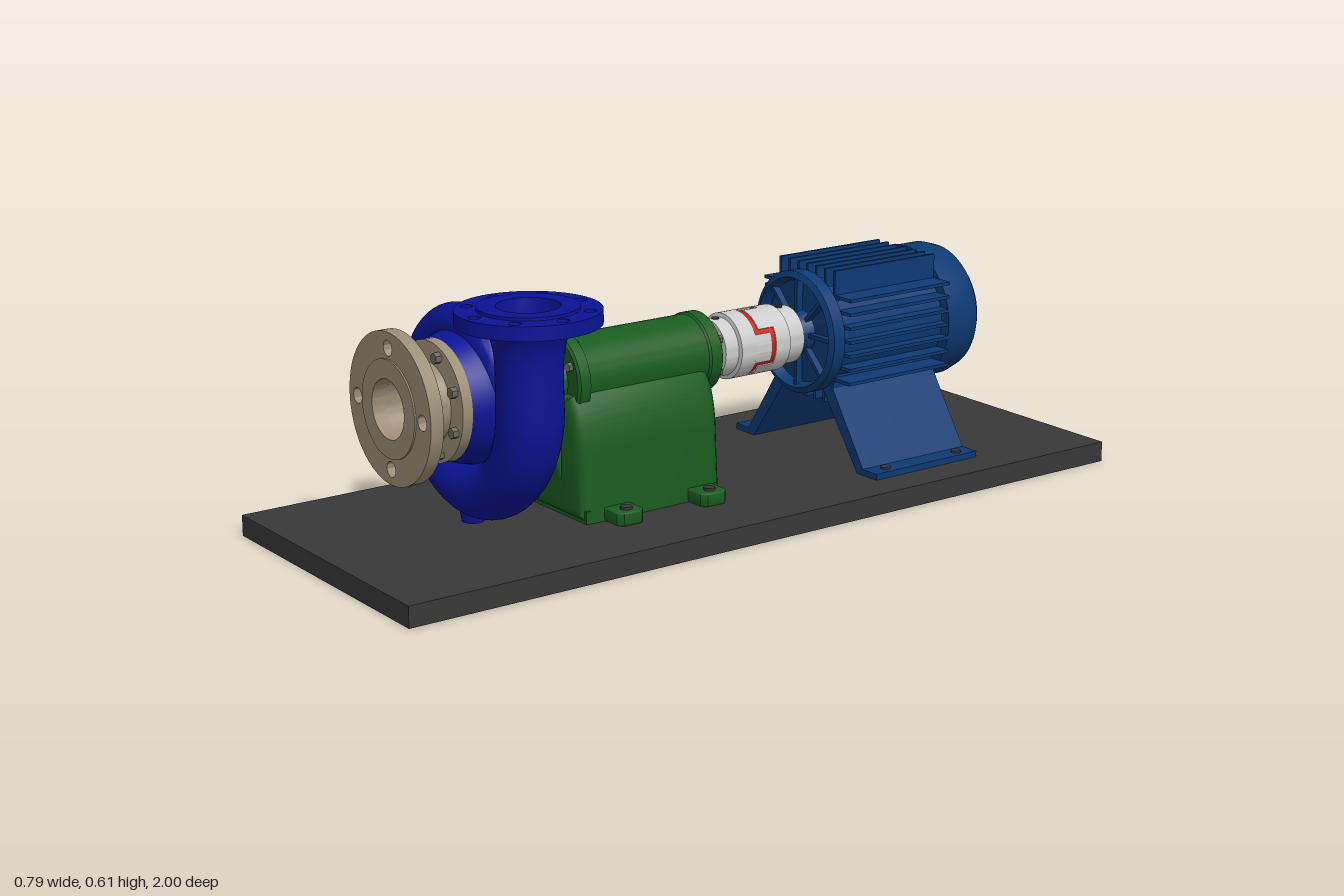
import * as THREE from 'three';
import { toCreasedNormals } from 'three/addons/utils/BufferGeometryUtils.js';

const BLUE = 0x0a1496, NAVY = 0x0d3a73, GREEN = 0x1a5c1f, BEIGE = 0x9a8d75, RED = 0xdd1515;
const SILVER = 0xcccccc, YELLOW = 0xd8b010, DARK = 0x383838, STEEL = 0x6a6a62, MAROON = 0x7a1010;
const GROUND = -0.313; // top of the base plate, measured from the shaft axis

const V = (pts) => pts.map(([x, y]) => new THREE.Vector2(x, y));

function add(parent, name, geo, color, double = false) {
  const mat = new THREE.MeshStandardMaterial({ color, side: double ? THREE.DoubleSide : THREE.FrontSide });
  const mesh = new THREE.Mesh(geo, mat);
  mesh.name = name;
  parent.add(mesh);
  return mesh;
}

// Solid of revolution about the z axis; profile is [radius, z] with z rising on the outside
const turn = (pts, seg = 56) => toCreasedNormals(new THREE.LatheGeometry(V(pts), seg).rotateX(Math.PI / 2), 0.6);

// Cylinder along z
const cyl = (r, z0, z1, x = 0, y = 0, seg = 24) =>
  new THREE.CylinderGeometry(r, r, z1 - z0, seg).rotateX(Math.PI / 2).translate(x, y, (z0 + z1) / 2);

// Box given by its extents
const box = (x0, x1, y0, y1, z0, z1) =>
  new THREE.BoxGeometry(x1 - x0, y1 - y0, z1 - z0).translate((x0 + x1) / 2, (y0 + y1) / 2, (z0 + z1) / 2);

function extrude(shape, z0, z1, bevel = 0) {
  const geo = new THREE.ExtrudeGeometry(shape, {
    depth: z1 - z0 - 2 * bevel, curveSegments: 32, bevelEnabled: bevel > 0,
    bevelSize: bevel, bevelThickness: bevel, bevelOffset: -bevel, bevelSegments: 3,
  });
  return toCreasedNormals(geo.translate(0, 0, z0 + bevel), 0.6);
}

// Drilled pipe flange
function flange(r, bore, count, pitch, holeR, z0, z1) {
  const shape = new THREE.Shape().absarc(0, 0, r, 0, Math.PI * 2);
  const hole = (x, y, rad) => shape.holes.push(new THREE.Path().absarc(x, y, rad, 0, Math.PI * 2, true));
  hole(0, 0, bore);
  for (let i = 0; i < count; i++) {
    const a = (i / count) * Math.PI * 2;
    hole(pitch * Math.cos(a), pitch * Math.sin(a), holeR);
  }
  return extrude(shape, z0, z1);
}

// Ring of hexagon bolt heads
function boltRing(parent, name, count, pitch, r, z0, z1, color, phase = 0) {
  for (let i = 0; i < count; i++) {
    const a = phase + (i / count) * Math.PI * 2;
    add(parent, name, toCreasedNormals(cyl(r, z0, z1, pitch * Math.cos(a), pitch * Math.sin(a), 6), 0.4), color);
  }
}

// Spiral tube that grows round the axis, then runs straight up and flares
function voluteGeometry() {
  const stations = [];
  for (let d = 10; d <= 360; d += 5) {
    const a = (d * Math.PI) / 180, k = (d - 90) / 90, c = 0.155 + 0.0283 * k;
    stations.push([c * Math.cos(a), c * Math.sin(a), 0.045 + 0.01 * k, a]);
  }
  for (const [y, r] of [[0.07, 0.074], [0.13, 0.075], [0.155, 0.078], [0.18, 0.084], [0.198, 0.093], [0.211, 0.106]])
    stations.push([0.24, y, r, 0]);
  const n = 36, pos = [], index = [];
  stations.forEach(([x, y, r, a], i) => {
    for (let j = 0; j <= n; j++) {
      const p = (j / n) * Math.PI * 2, u = r * Math.cos(p);
      pos.push(x + u * Math.cos(a), y + u * Math.sin(a), 0.62 + r * Math.sin(p));
      if (i && j < n) {
        const q = i * (n + 1) + j, o = q - n - 1;
        index.push(o, q, o + 1, q, q + 1, o + 1);
      }
    }
  });
  const geo = new THREE.BufferGeometry();
  geo.setAttribute('position', new THREE.Float32BufferAttribute(pos, 3));
  geo.setIndex(index);
  return toCreasedNormals(geo, 0.8);
}

function buildPump(g) {
  // Casing and volute
  add(g, 'volute', voluteGeometry(), BLUE, true);
  add(g, 'casing', turn([[0, 0.545], [0.13, 0.545], [0.15, 0.575], [0.16, 0.62], [0.15, 0.665], [0.138, 0.7],
    [0.068, 0.7], [0.068, 0.64], [0, 0.64]]), BLUE);
  add(g, 'drainPlug', new THREE.CylinderGeometry(0.032, 0.026, 0.04, 24).translate(0, -0.275, 0.62), BLUE);

  // Discharge flange on top of the volute
  const out = new THREE.Group();
  out.name = 'dischargeFlange';
  out.position.set(0.24, 0, 0.62);
  out.rotation.x = -Math.PI / 2;
  g.add(out);
  add(out, 'dischargeRing', flange(0.16, 0.07, 8, 0.134, 0.014, 0.21, 0.242), BLUE);
  add(out, 'dischargeFace', flange(0.112, 0.07, 0, 0, 0, 0.242, 0.249), BLUE);
  add(out, 'dischargeBore', turn([[0.066, 0.02], [0.066, 0.2], [0.07, 0.249]]), BLUE, true);

  // Suction nozzle
  add(g, 'suctionFlange', flange(0.173, 0.068, 4, 0.137, 0.018, 0.795, 0.827), BEIGE);
  add(g, 'suctionFace', flange(0.112, 0.068, 0, 0, 0, 0.827, 0.831), BEIGE);
  add(g, 'suctionNeck', turn([[0.058, 0.7], [0.138, 0.7], [0.138, 0.725], [0.092, 0.727], [0.086, 0.74], [0.085, 0.77],
    [0.092, 0.788], [0.105, 0.797], [0.068, 0.797], [0.058, 0.7]]), BEIGE);
  boltRing(g, 'suctionBolt', 8, 0.118, 0.013, 0.725, 0.74, STEEL, Math.PI / 8);

  // Impeller seen through the suction bore
  add(g, 'impeller', cyl(0.066, 0.635, 0.66, 0, 0, 40), MAROON);
  add(g, 'impellerNut', cyl(0.028, 0.66, 0.69, 0, 0, 6), SILVER);
  add(g, 'shaftTip', cyl(0.016, 0.69, 0.7), RED);

  // Stuffing box and gland
  add(g, 'stuffingBox', turn([[0, 0.48], [0.045, 0.48], [0.045, 0.515], [0.075, 0.545], [0, 0.545]]), BLUE);
  const plate = new THREE.Shape(V([[0.09, -0.018], [0.09, 0.018], [0.03, 0.045], [-0.03, 0.045],
    [-0.09, 0.018], [-0.09, -0.018], [-0.03, -0.045], [0.03, -0.045]]));
  add(g, 'gland', extrude(plate, 0.452, 0.468, 0.003), YELLOW);
  add(g, 'glandSleeve', cyl(0.034, 0.465, 0.485), YELLOW);
  for (const s of [-1, 1]) {
    add(g, 'glandStud', cyl(0.008, 0.425, 0.545, s * 0.068), STEEL);
    add(g, 'glandNut', cyl(0.016, 0.437, 0.452, s * 0.068, 0, 6), STEEL);
  }
  add(g, 'shaft', cyl(0.024, -0.3, 0.5), RED);
}

function buildBracket(g) {
  // Lantern ring and its two arms
  add(g, 'lanternRing', flange(0.142, 0.1, 0, 0, 0, 0.52, 0.55), GREEN);
  boltRing(g, 'lanternBolt', 8, 0.122, 0.013, 0.503, 0.52, STEEL, Math.PI / 8);
  const top = new THREE.Shape();
  top.moveTo(0.535, 0.142);
  top.bezierCurveTo(0.47, 0.145, 0.45, 0.125, 0.42, 0.1);
  top.lineTo(0.36, 0.09);
  top.lineTo(0.36, 0.06);
  top.lineTo(0.41, 0.065);
  top.bezierCurveTo(0.44, 0.095, 0.48, 0.108, 0.535, 0.108);
  const low = new THREE.Shape();
  low.moveTo(0.535, -0.142);
  low.bezierCurveTo(0.47, -0.145, 0.425, -0.16, 0.415, -0.24);
  low.lineTo(0.37, -0.24);
  low.lineTo(0.37, -0.07);
  low.lineTo(0.41, -0.08);
  low.bezierCurveTo(0.44, -0.105, 0.48, -0.108, 0.535, -0.108);
  for (const arm of [top, low])
    add(g, 'lanternArm', extrude(arm, -0.052, 0.052, 0.008).rotateY(-Math.PI / 2), GREEN);

  // Bearing housing with end covers
  add(g, 'bearingHousing', turn([[0, -0.015], [0.09, -0.015], [0.096, -0.01], [0.096, 0.02], [0.092, 0.025],
    [0.092, 0.36], [0.106, 0.368], [0.106, 0.395], [0.1, 0.4], [0.06, 0.4], [0.055, 0.41], [0, 0.41]]), GREEN);
  boltRing(g, 'rearCoverBolt', 6, 0.076, 0.011, -0.026, -0.015, STEEL, Math.PI / 6);
  boltRing(g, 'frontCoverBolt', 6, 0.083, 0.011, 0.4, 0.41, STEEL, Math.PI / 6);

  // Pedestal with rounded shoulders
  const s = new THREE.Shape();
  s.moveTo(-0.137, GROUND);
  s.lineTo(0.137, GROUND);
  s.lineTo(0.128, -0.15);
  s.quadraticCurveTo(0.124, -0.07, 0.088, -0.02);
  s.lineTo(-0.088, -0.02);
  s.quadraticCurveTo(-0.124, -0.07, -0.128, -0.15);
  add(g, 'pedestal', extrude(s, 0.02, 0.415, 0.03), GREEN);
  add(g, 'pedestalSole', box(-0.135, 0.135, GROUND, GROUND + 0.03, 0.035, 0.405), GREEN);
  for (const x of [-1, 1]) for (const z of [0.085, 0.32]) {
    const foot = new THREE.Shape(V([[0.11, -0.036], [0.185, -0.036], [0.198, -0.024], [0.198, 0.024], [0.185, 0.036], [0.11, 0.036]]));
    const m = add(g, 'pedestalFoot', extrude(foot, 0, 0.032, 0.004).rotateX(-Math.PI / 2), GREEN);
    m.position.set(0, GROUND, z);
    if (x < 0) m.rotation.y = Math.PI;
    add(g, 'footBolt', new THREE.CylinderGeometry(0.014, 0.014, 0.008, 20).translate(x * 0.17, GROUND + 0.034, z), DARK);
  }
}

function buildCoupling(g) {
  add(g, 'frontHub', turn([[0, -0.125], [0.08, -0.125], [0.08, -0.08], [0.07, -0.078], [0.07, -0.04], [0, -0.04]]), SILVER);
  add(g, 'rearHub', turn([[0, -0.275], [0.07, -0.275], [0.07, -0.227], [0.08, -0.225], [0.08, -0.182], [0, -0.182]]), SILVER);
  add(g, 'spider', cyl(0.077, -0.185, -0.122, 0, 0, 48), RED);
  // Interlocking jaws, three per hub
  for (let i = 0; i < 6; i++) {
    const a = (i * Math.PI) / 3 - 0.45, b = a + 0.9;
    const jaw = new THREE.Shape().absarc(0, 0, 0.08, a, b).absarc(0, 0, 0.04, b, a, true);
    const z = i % 2 ? -0.183 : -0.17;
    add(g, 'jaw', extrude(jaw, z, z + 0.046), SILVER);
  }
  for (const z of [-0.06, -0.25])
    add(g, 'setScrew', new THREE.CylinderGeometry(0.009, 0.009, 0.004, 16).translate(0, 0.071, z), DARK);
}

function buildMotor(g) {
  add(g, 'motorBody', turn([[0, -0.775], [0.115, -0.775], [0.14, -0.768], [0.158, -0.75], [0.167, -0.72], [0.167, -0.65],
    [0.14, -0.65], [0.14, -0.335], [0.15, -0.335], [0.15, -0.302], [0.135, -0.295], [0.125, -0.322], [0.055, -0.32],
    [0.046, -0.292], [0, -0.292]]), NAVY);
  // Parallel cooling fins on four sides
  for (let side = 0; side < 4; side++) for (let i = -3; i <= 3; i++) {
    const d = i * 0.034;
    add(g, 'coolingFin', box(d - 0.004, d + 0.004, 0.08, 0.165, -0.652, -0.338).rotateZ((side * Math.PI) / 2), NAVY);
  }
  for (let i = 0; i < 8; i++)
    add(g, 'endShieldRib', box(0.04, 0.135, -0.005, 0.005, -0.325, -0.304).rotateZ((i * Math.PI) / 4), NAVY);
  // Fan cover grille
  for (let i = -2; i <= 2; i++) {
    add(g, 'grilleBar', box(-0.085, 0.085, i * 0.034 - 0.003, i * 0.034 + 0.003, -0.779, -0.77), NAVY);
    add(g, 'grilleBar', box(i * 0.034 - 0.003, i * 0.034 + 0.003, -0.085, 0.085, -0.779, -0.77), NAVY);
  }
  add(g, 'terminalBox', box(-0.222, -0.12, -0.055, 0.06, -0.6, -0.4), NAVY);
  add(g, 'terminalBoxLid', box(-0.232, -0.22, -0.06, 0.066, -0.607, -0.393), NAVY);
  // Splayed mounting legs
  for (const s of [-1, 1]) {
    const leg = new THREE.Shape(V([[0.272, GROUND], [0.272, GROUND + 0.015], [0.222, GROUND + 0.015],
      [0.09, -0.1], [0.06, -0.12], [0.2, GROUND]].map(([x, y]) => [s * x, y])));
    add(g, 'motorLeg', extrude(leg, -0.655, -0.335), NAVY);
    for (const z of [-0.61, -0.385])
      add(g, 'legBolt', new THREE.CylinderGeometry(0.012, 0.012, 0.006, 20).translate(s * 0.247, GROUND + 0.017, z), DARK);
  }
}

export function createModel() {
  const root = new THREE.Group();
  root.name = 'pumpSet';
  const base = add(root, 'basePlate', new THREE.BoxGeometry(0.745, 0.05, 1.992), DARK);
  base.position.set(-0.02, 0.025, 0);
  base.rotation.y = -0.0075;
  for (const [name, build] of [['pump', buildPump], ['bearingBracket', buildBracket], ['coupling', buildCoupling], ['motor', buildMotor]]) {
    const g = new THREE.Group();
    g.name = name;
    g.position.set(-0.005, 0.363, 0);
    build(g);
    root.add(g);
  }
  return root;
}
